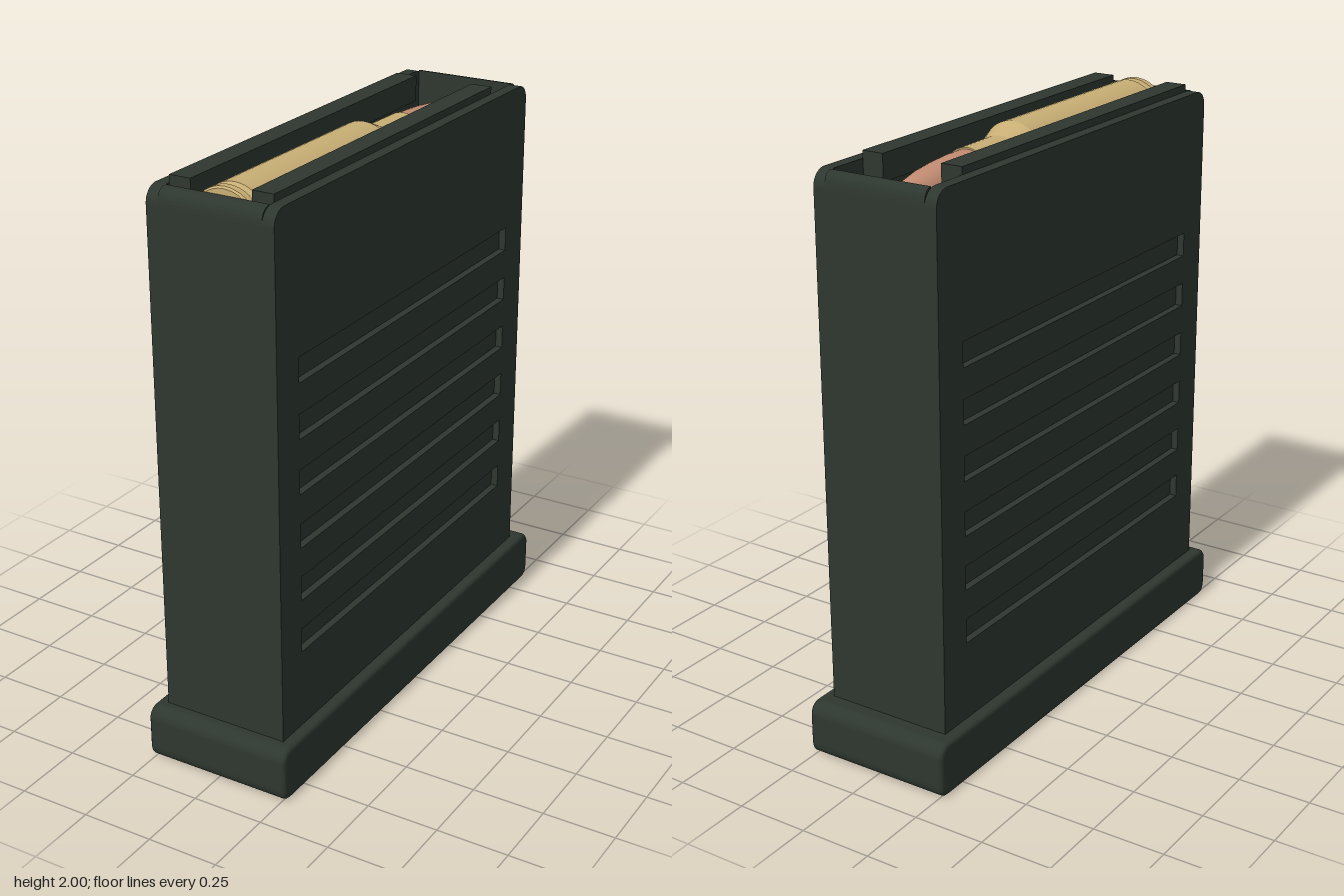
import * as THREE from 'three';

const olive = new THREE.MeshStandardMaterial({ color: 0x2e372f });
olive.name = 'darkOlive';
const brass = new THREE.MeshStandardMaterial({ color: 0xc9af75 });
brass.name = 'brass';
const copper = new THREE.MeshStandardMaterial({ color: 0xc18b71 });
copper.name = 'copper';

function add(parent, name, geometry, material) {
  const mesh = new THREE.Mesh(geometry, material);
  mesh.name = name;
  parent.add(mesh);
  return mesh;
}

// Side profile in (z, y), rounded at the top and optionally at the bottom
function profile(z0, z1, y0, y1, r, rb = 0) {
  const s = new THREE.Shape();
  s.moveTo(z0 + rb, y0);
  s.lineTo(z1 - rb, y0);
  if (rb) s.quadraticCurveTo(z1, y0, z1, y0 + rb);
  s.lineTo(z1, y1 - r);
  s.absarc(z1 - r, y1 - r, r, 0, Math.PI / 2);
  s.lineTo(z0 + r, y1);
  s.absarc(z0 + r, y1 - r, r, Math.PI / 2, Math.PI);
  s.lineTo(z0, y0 + rb);
  if (rb) s.quadraticCurveTo(z0, y0, z0 + rb, y0);
  return s;
}

// Extrude a side profile across the width from x0 to x1
function across(shape, x0, x1, bevel = 0) {
  const g = new THREE.ExtrudeGeometry(shape, {
    depth: x1 - x0 - 2 * bevel, curveSegments: 8, bevelEnabled: bevel > 0,
    bevelSize: bevel, bevelThickness: bevel, bevelOffset: -bevel, bevelSegments: 3,
  });
  g.rotateY(-Math.PI / 2);
  g.translate(x1 - bevel, 0, 0);
  return g;
}

// Turned part lying along z, nose towards -z; points are [radius, z]
function turned(points) {
  const g = new THREE.LatheGeometry(points.map(([r, z]) => new THREE.Vector2(r, -z)), 40);
  g.rotateX(-Math.PI / 2);
  return g;
}

function createCartridge() {
  const cartridge = new THREE.Group();
  cartridge.name = 'cartridge';
  // Case: each straight run is its own part so the edges stay crisp
  const run = [[0, 0.772], [0.114, 0.772], [0.12, 0.766], [0.12, 0.742], [0.104, 0.736],
    [0.104, 0.724], [0.12, 0.714], [0.118, -0.03], [0.086, -0.11], [0.084, -0.29], [0.07, -0.29]];
  for (let i = 0; i < run.length - 1; i++) add(cartridge, 'caseSection', turned([run[i], run[i + 1]]), brass);
  // Bullet with a curved nose
  const nose = [[0.079, -0.285], [0.078, -0.36], [0.073, -0.44], [0.064, -0.52],
    [0.05, -0.59], [0.034, -0.645], [0.018, -0.685], [0.009, -0.699], [0, -0.702]];
  add(cartridge, 'bullet', turned(nose), copper);
  cartridge.position.set(0.02, 1.88, 0);
  return cartridge;
}

export function createModel() {
  const model = new THREE.Group();
  model.name = 'magazine';

  // Base plate
  add(model, 'basePlate', across(profile(-0.88, 0.88, 0, 0.19, 0.045, 0.045), -0.265, 0.265, 0.015), olive);

  // Core: end walls and follower floor around the open top
  const bottom = 0.17, top = 1.975, back = -0.8, front = 0.82, r = 0.055, floor = 1.72;
  const core = new THREE.Shape();
  core.moveTo(back, bottom);
  core.lineTo(front, bottom);
  core.lineTo(front, top - r);
  core.quadraticCurveTo(front, top, 0.775, top);
  core.lineTo(0.775, floor);
  core.lineTo(-0.765, floor);
  core.lineTo(-0.765, top);
  core.quadraticCurveTo(back, top, back, top - r);
  add(model, 'bodyCore', across(core, -0.183, 0.183), olive);

  // Side walls: a plain inner layer and a slotted outer layer
  const wall = profile(back, front, bottom, top, r);
  const slotted = profile(back, front, bottom, top, r);
  for (let i = 0; i < 6; i++) {
    const y = 0.505 + i * 0.187, h = 0.042;
    const slot = new THREE.Path();
    slot.moveTo(-0.675, y - h);
    slot.lineTo(-0.675, y + h);
    slot.lineTo(0.7, y + h);
    slot.lineTo(0.7, y - h);
    slot.closePath();
    slotted.holes.push(slot);
  }
  for (const [side, s] of [['left', 1], ['right', -1]]) {
    const span = (a, b) => (s > 0 ? [a, b] : [-b, -a]);
    add(model, side + 'InnerWall', across(wall, ...span(0.183, 0.2)), olive);
    add(model, side + 'GroovedWall', across(slotted, ...span(0.2, 0.225)), olive);
    // Feed lip
    const lip = add(model, side + 'FeedLip', new THREE.BoxGeometry(0.076, 0.09, 1.365), olive);
    lip.position.set(s * 0.146, 1.955, 0.0725);
  }

  model.add(createCartridge());
  return model;
}
